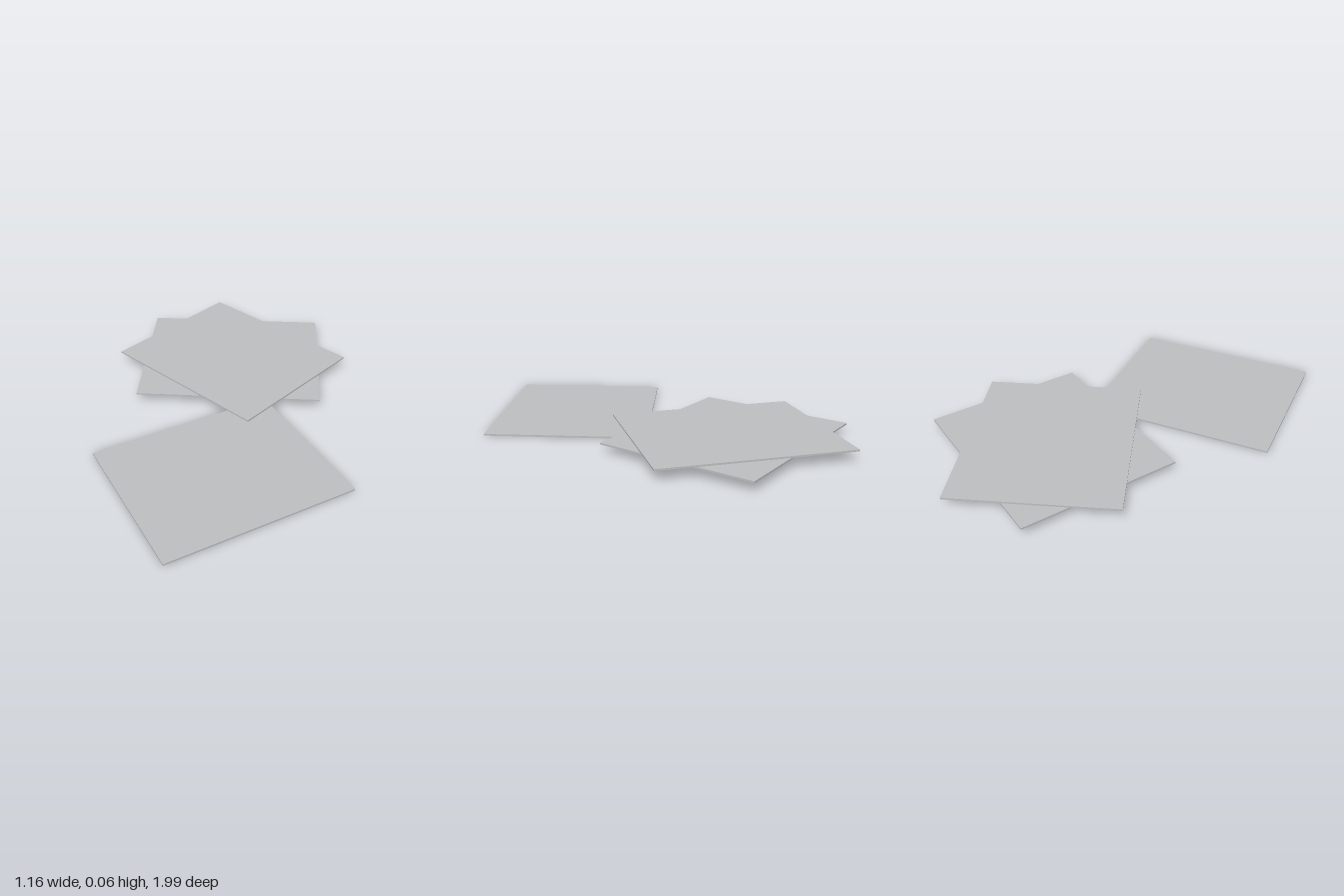
import * as THREE from 'three';

// Three thin rectangular sheets, two stacked and one lying in front
export function createModel() {
  const group = new THREE.Group();
  const paleGrey = new THREE.MeshStandardMaterial({ color: 0xbdbec0 });
  paleGrey.name = 'paleGrey';
  const thickness = 0.008;
  const sheet = new THREE.BoxGeometry(0.884, thickness, 0.747);

  // name, underside height, centre z, turn about the vertical
  const sheets = [
    ['frontSheet', 0, 0.442, 0.56],
    ['backLowerSheet', 0.04, -0.432, 0],
    ['backUpperSheet', 0.048, -0.431, -0.685],
  ];
  for (const [name, y, z, turn] of sheets) {
    const mesh = new THREE.Mesh(sheet, paleGrey);
    mesh.name = name;
    mesh.position.set(0, y + thickness / 2, z);
    mesh.rotation.y = turn;
    group.add(mesh);
  }
  return group;
}
